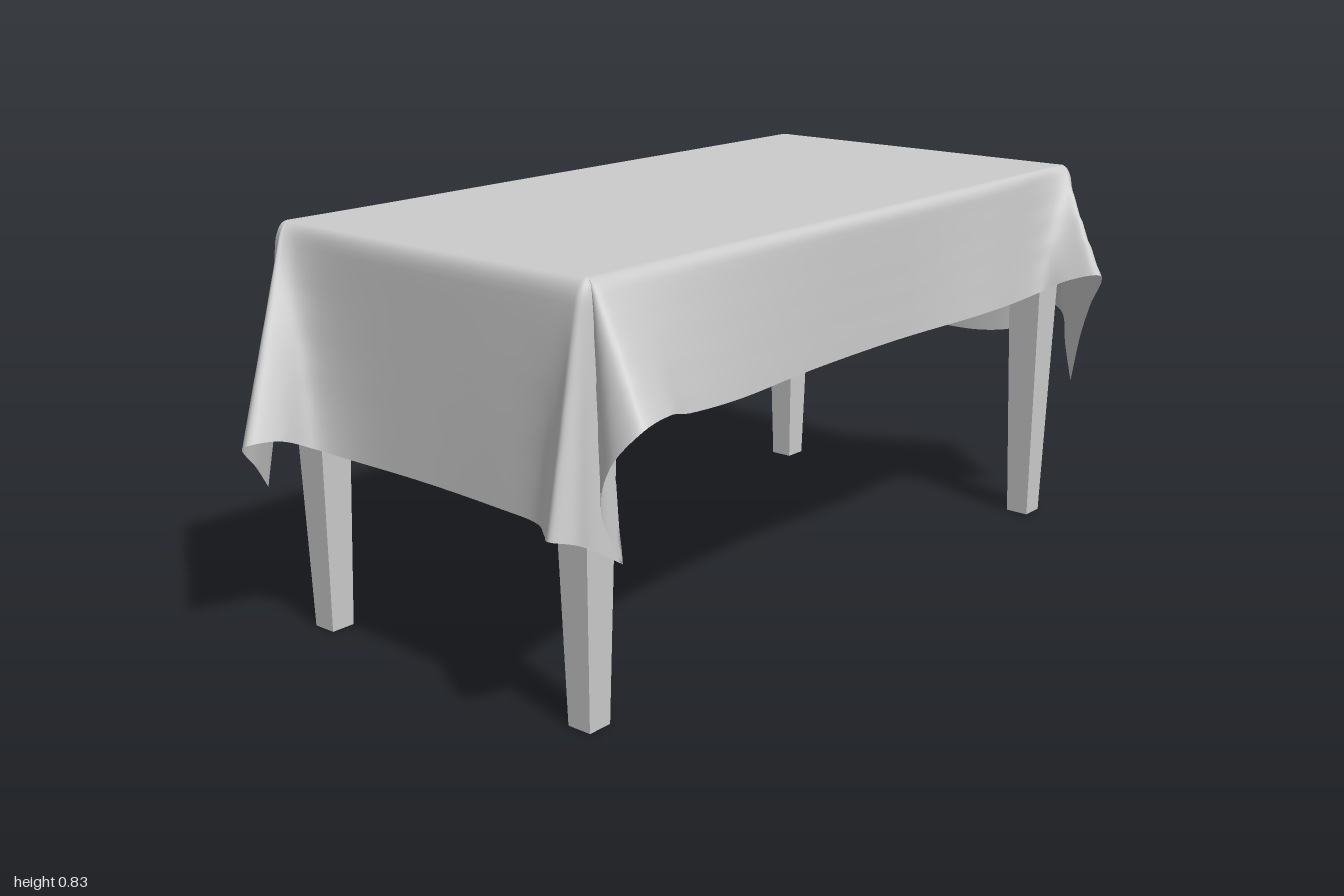
import * as THREE from 'three';
import { mergeVertices } from 'three/addons/utils/BufferGeometryUtils.js';

const TOP = 0.835, AX = 0.785, AZ = 0.395; // cloth height and the flat part's half sizes
const CENTRE_Z = 0.0125; // the table sits slightly forward of the cloth's outer bounds
const STEPS = 90, ROWS = 16;

// Hem control points between two hanging cloth tips: [x, y, z, anchor along the table edge]
const longHem = [
  [-0.755, 0.328, 0.44, -AX], [-0.82, 0.44, 0.452, -AX], [-0.86, 0.55, 0.515, -AX],
  [-0.835, 0.61, 0.562, -AX], [-0.75, 0.615, 0.546, -0.765], [-0.64, 0.585, 0.497, -0.66],
  [-0.45, 0.562, 0.456, -0.46], [-0.2, 0.56, 0.431, -0.2], [0.1, 0.56, 0.424, 0.1],
];
const frontHem = [
  ...longHem,
  [0.4, 0.56, 0.438, 0.42], [0.56, 0.56, 0.434, 0.6], [0.635, 0.568, 0.442, 0.72],
  [0.66, 0.6, 0.5, AX], [0.685, 0.615, 0.565, AX], [0.745, 0.53, 0.512, AX],
  [0.79, 0.445, 0.468, AX], [0.858, 0.31, 0.412, AX],
];
const backHem = [
  ...longHem,
  [0.3, 0.56, 0.424, 0.32], [0.45, 0.56, 0.428, 0.5], [0.55, 0.565, 0.447, 0.63],
  [0.632, 0.588, 0.503, 0.74], [0.685, 0.617, 0.592, AX], [0.73, 0.55, 0.53, AX],
  [0.785, 0.45, 0.468, AX], [0.858, 0.31, 0.412, AX],
];
const sideHem = [
  [0.858, 0.31, 0.412, AZ], [0.925, 0.38, 0.356, AZ], [0.985, 0.437, 0.312, AZ],
  [0.992, 0.452, 0.285, AZ], [0.935, 0.452, 0.264, AZ], [0.86, 0.42, 0.262, 0.35],
  [0.83, 0.405, 0.19, 0.22], [0.823, 0.402, 0, 0], [0.83, 0.4, -0.2, -0.2],
  [0.845, 0.4, -0.325, -0.335], [0.88, 0.4, -0.376, -AZ], [0.912, 0.408, -0.418, -AZ],
  [0.88, 0.4, -0.442, -AZ], [0.82, 0.37, -0.432, -AZ], [0.755, 0.328, -0.44, -AZ],
];

// Samples one side of the hem; turn = -1 gives the opposite side of the table
function sampleSide(points, isLong, turn) {
  const hem = new THREE.CatmullRomCurve3(points.map(p => new THREE.Vector3(p[0], p[1], p[2])));
  const out = [];
  for (let i = 0; i <= STEPS; i++) {
    const t = i / STEPS, f = t * (points.length - 1);
    const k = Math.min(Math.floor(f), points.length - 2);
    const a = THREE.MathUtils.lerp(points[k][3], points[k + 1][3], f - k);
    const anchor = isLong ? new THREE.Vector3(a, TOP, AZ) : new THREE.Vector3(AX, TOP, a);
    const end = hem.getPoint(t), spin = new THREE.Vector3(turn, 1, turn);
    out.push({ anchor: anchor.multiply(spin), end: end.multiply(spin) });
  }
  return out;
}

// One strand of cloth: table centre, flat edge, rounded bend, straight fall to the hem
function strand({ anchor, end }) {
  const out = new THREE.Vector3(end.x - anchor.x, 0, end.z - anchor.z);
  const edge = anchor.clone().addScaledVector(out.normalize(), 0.026);
  const below = edge.clone().lerp(end, 0.1);
  const bend = new THREE.QuadraticBezierCurve3(anchor, edge, below);
  const pts = [new THREE.Vector3(0, TOP, 0), ...bend.getPoints(6)];
  for (let j = 1; j <= ROWS; j++) pts.push(below.clone().lerp(end, j / ROWS));
  return pts;
}

// Folds soften towards the table: upper rows are averaged with their neighbours
function soften(strands) {
  const n = strands.length, m = strands[0].length;
  return strands.map((pts, i) => pts.map((p, j) => {
    const reach = Math.round(6 * (1 - j / (m - 1))), sum = new THREE.Vector3();
    for (let d = -reach; d <= reach; d++) sum.add(strands[(i + d + n) % n][j]);
    return sum.divideScalar(2 * reach + 1);
  }));
}

function clothGeometry() {
  const strands = soften([
    ...sampleSide(frontHem, true, 1), ...sampleSide(sideHem, false, 1),
    ...sampleSide(backHem, true, -1), ...sampleSide(sideHem, false, -1),
  ].map(strand));
  const n = strands.length, m = strands[0].length, index = [];
  for (let i = 0; i < n; i++) {
    for (let j = 0; j < m - 1; j++) {
      const a = i * m + j, b = ((i + 1) % n) * m + j;
      index.push(a, a + 1, b, b, a + 1, b + 1);
    }
  }
  const geo = new THREE.BufferGeometry().setFromPoints(strands.flat());
  geo.setIndex(index);
  const merged = mergeVertices(geo, 1e-5);
  merged.computeVertexNormals();
  return merged;
}

// Square leg, narrower at the foot
function legGeometry(height, topWidth, footWidth) {
  const geo = new THREE.CylinderGeometry(topWidth / Math.SQRT2, footWidth / Math.SQRT2, height, 4);
  geo.rotateY(Math.PI / 4);
  geo.translate(0, height / 2, 0);
  return geo;
}

export function createModel() {
  const group = new THREE.Group();
  const add = (name, geo, options) => {
    const mesh = new THREE.Mesh(geo, new THREE.MeshStandardMaterial({ color: 0xcccccc, ...options }));
    mesh.name = name;
    group.add(mesh);
    return mesh;
  };

  add('tablecloth', clothGeometry(), { side: THREE.DoubleSide }).position.z = CENTRE_Z;

  const leg = legGeometry(0.79, 0.091, 0.053);
  for (const x of [-1, 1]) {
    for (const z of [-1, 1]) {
      const name = (z > 0 ? 'front' : 'back') + (x > 0 ? 'Left' : 'Right') + 'Leg';
      add(name, leg, { flatShading: true }).position.set(x * 0.758, 0, z * 0.356 + CENTRE_Z);
    }
  }
  return group;
}
